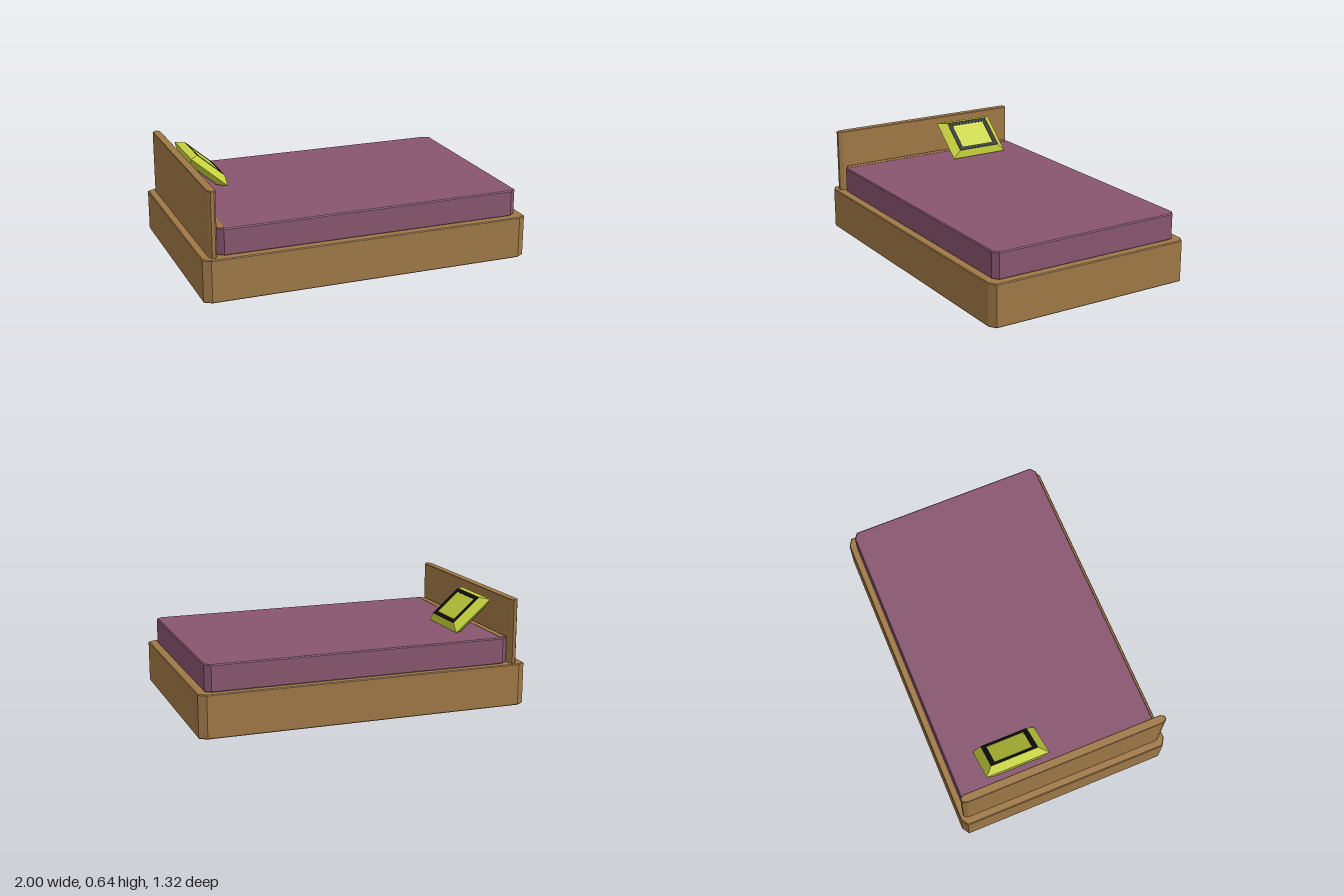
import * as THREE from 'three';

const mat = (color) => new THREE.MeshStandardMaterial({ color, flatShading: true });

// Rectangle with cut corners, centred on the origin
function cutRect(w, d, cx, cz) {
  const x = w / 2, z = d / 2;
  return new THREE.Shape([
    [x, -z + cz], [x, z - cz], [x - cx, z], [-x + cx, z],
    [-x, z - cz], [-x, -z + cz], [-x + cx, -z], [x - cx, -z],
  ].map(([a, b]) => new THREE.Vector2(a, b)));
}

// Upright slab with cut corners and slightly bevelled top and bottom edges
function slab(name, material, [x0, x1], [y0, y1], [z0, z1], cx, cz, bevel) {
  const geo = new THREE.ExtrudeGeometry(cutRect(x1 - x0, z1 - z0, cx, cz), {
    depth: y1 - y0 - 2 * bevel, bevelEnabled: true, bevelSegments: 1,
    bevelThickness: bevel, bevelSize: bevel, bevelOffset: -bevel,
  });
  geo.translate(0, 0, bevel).rotateX(-Math.PI / 2);
  const mesh = new THREE.Mesh(geo, material);
  mesh.name = name;
  mesh.position.set((x0 + x1) / 2, y0, (z0 + z1) / 2);
  return mesh;
}

// Half of the cushion: a box narrowing towards its face, with a dark border
function cushionHalf(name, fabric, trim) {
  const half = new THREE.Group();
  half.name = name;
  const w = 0.29, d = 0.39, h = 0.037, fw = 0.22, fd = 0.29;
  const geo = new THREE.BoxGeometry(w, h, d).translate(0, h / 2, 0);
  const p = geo.attributes.position;
  for (let i = 0; i < p.count; i++) {
    if (p.getY(i) > h / 2) p.setXYZ(i, p.getX(i) * fw / w, h, p.getZ(i) * fd / d);
  }
  geo.computeVertexNormals();
  const body = new THREE.Mesh(geo, fabric);
  body.name = name + 'Body';

  const frame = cutRect(fw, fd, 0, 0);
  frame.holes.push(cutRect(fw - 0.048, fd - 0.058, 0, 0));
  const border = new THREE.Mesh(
    new THREE.ExtrudeGeometry(frame, { depth: 0.002, bevelEnabled: false }).rotateX(-Math.PI / 2), trim);
  border.name = name + 'Border';
  border.position.y = h;
  half.add(body, border);
  return half;
}

export function createModel() {
  const bed = new THREE.Group();
  bed.name = 'bed';
  const wood = mat(0x9f7846);
  const cloth = mat(0x88556f);

  bed.add(
    slab('bedBase', wood, [-1, 1], [0.005, 0.26], [-0.66, 0.66], 0.045, 0.028, 0.005),
    slab('headboard', wood, [-0.956, -0.906], [0.255, 0.648], [-0.637, 0.632], 0.015, 0.025, 0.003),
    slab('mattress', cloth, [-0.9, 0.952], [0.258, 0.418], [-0.62, 0.612], 0.035, 0.027, 0.006),
  );

  // Wooden strip along the head end of the mattress top
  const strip = new THREE.Mesh(new THREE.BoxGeometry(0.038, 0.004, 1.19), wood);
  strip.name = 'headStrip';
  strip.position.set(-0.876, 0.4175, -0.004);
  bed.add(strip);

  // Cushion leaning towards the headboard
  const cushion = new THREE.Group();
  cushion.name = 'cushion';
  const fabric = mat(0xc6d23c), trim = mat(0x111111);
  const front = cushionHalf('cushionFront', fabric, trim);
  const back = cushionHalf('cushionBack', fabric, trim);
  back.rotation.x = Math.PI;
  cushion.add(front, back);
  cushion.position.set(-0.749, 0.523, -0.258);
  cushion.rotation.z = -0.715;
  bed.add(cushion);
  return bed;
}
